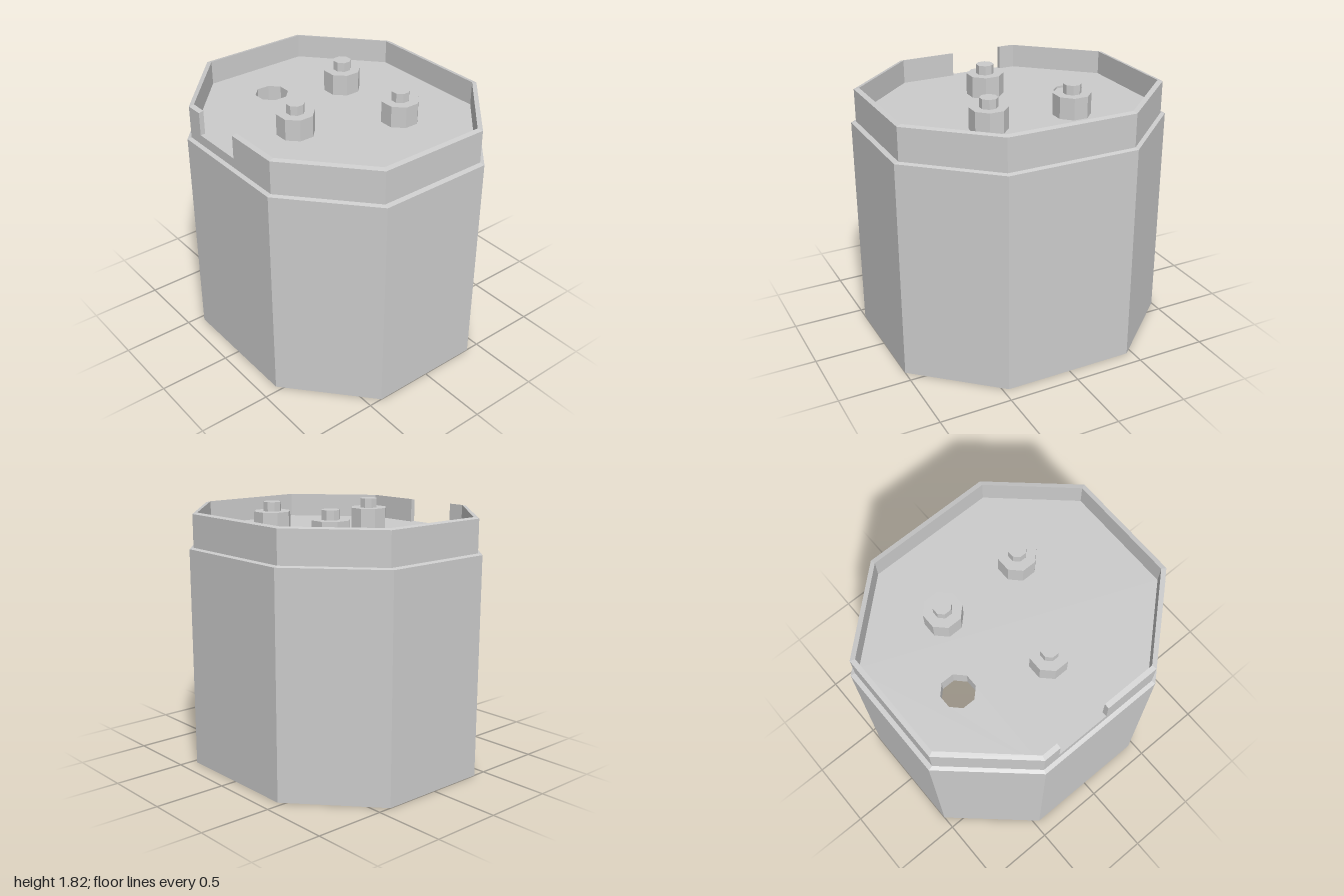
import * as THREE from 'three';

const DECK = 1.605;

export function createModel() {
  const group = new THREE.Group();
  const material = new THREE.MeshStandardMaterial({ color: 0xcccccc, flatShading: true, side: THREE.DoubleSide });
  const add = (name, geometry, x = 0, y = 0, z = 0) => {
    const mesh = new THREE.Mesh(geometry, material);
    mesh.name = name;
    mesh.position.set(x, y, z);
    group.add(mesh);
    return mesh;
  };

  // Irregular octagon [x, z] from half sizes and half lengths of the straight sides
  const octagon = (hx, hz, sx, sz) => [
    [-hx, sz], [-sx, hz], [sx, hz], [hx, sz],
    [hx, -sz], [sx, -hz], [-sx, -hz], [-hx, -sz],
  ];
  const outer = octagon(0.888, 1, 0.404, 0.46);
  const middle = octagon(0.86, 0.968, 0.397, 0.453);
  const inner = octagon(0.826, 0.935, 0.382, 0.445);

  // Skin between successive outlines, each given as [points, y]
  const loft = (levels, closed) => {
    const pos = [];
    const rows = levels.map(([pts, y]) => pts.map(([x, z]) => [x, y, z]));
    const quad = (a, b, c, d) => pos.push(...a, ...b, ...c, ...a, ...c, ...d);
    const n = rows[0].length;
    for (let r = 0; r < rows.length - 1; r++) {
      for (let i = 0; i < (closed ? n : n - 1); i++) {
        const j = (i + 1) % n;
        quad(rows[r][i], rows[r][j], rows[r + 1][j], rows[r + 1][i]);
      }
    }
    if (!closed) { // flat ends of an open four-level wall
      quad(...rows.map((row) => row[0]));
      quad(...rows.map((row) => row[n - 1]).reverse());
    }
    const geometry = new THREE.BufferGeometry();
    geometry.setAttribute('position', new THREE.Float32BufferAttribute(pos, 3));
    geometry.computeVertexNormals();
    return geometry;
  };

  // Hollow body, open below, with a narrow sloping ledge
  add('bodyShell', loft([[outer, 0], [outer, 1.53], [middle, 1.538], [middle, DECK]], true));

  // Roof parapet, interrupted by a notch on the -x side
  const notched = (pts) => [[pts[0][0], 0.055], ...pts, [pts[0][0], -0.33]];
  const wallOut = notched(middle), wallIn = notched(inner);
  add('parapet', loft([[wallOut, DECK], [wallOut, 1.765], [wallIn, 1.773], [wallIn, DECK]], false));

  // Roof deck with an octagonal opening
  const hole = { x: -0.14, z: -0.55, r: 0.117 };
  const ring = [];
  for (let i = 0; i < 8; i++) {
    const a = (i + 0.5) * Math.PI / 4;
    ring.push(new THREE.Vector2(hole.x + hole.r * Math.cos(a), -hole.z + hole.r * Math.sin(a)));
  }
  const roof = new THREE.Shape(middle.map(([x, z]) => new THREE.Vector2(x, -z)));
  roof.holes.push(new THREE.Path(ring));
  add('roofDeck', new THREE.ShapeGeometry(roof).rotateX(-Math.PI / 2), 0, DECK, 0);

  // Short open shaft below the opening
  const shaftDepth = 0.12;
  add('openingShaft',
    new THREE.CylinderGeometry(hole.r, hole.r, shaftDepth, 8, 1, true).rotateY(Math.PI / 8),
    hole.x, DECK - shaftDepth / 2, hole.z);

  // Three stepped octagonal vents
  const prism = (name, r, y0, y1, x, z) =>
    add(name, new THREE.CylinderGeometry(r, r, y1 - y0, 8).rotateY(Math.PI / 8), x, (y0 + y1) / 2, z);
  for (const [x, z] of [[0.3, -0.31], [0.3, 0.305], [-0.35, 0.02]]) {
    prism('ventBase', 0.13, DECK, 1.755, x, z);
    prism('ventCap', 0.062, 1.755, 1.82, x, z);
  }
  return group;
}
